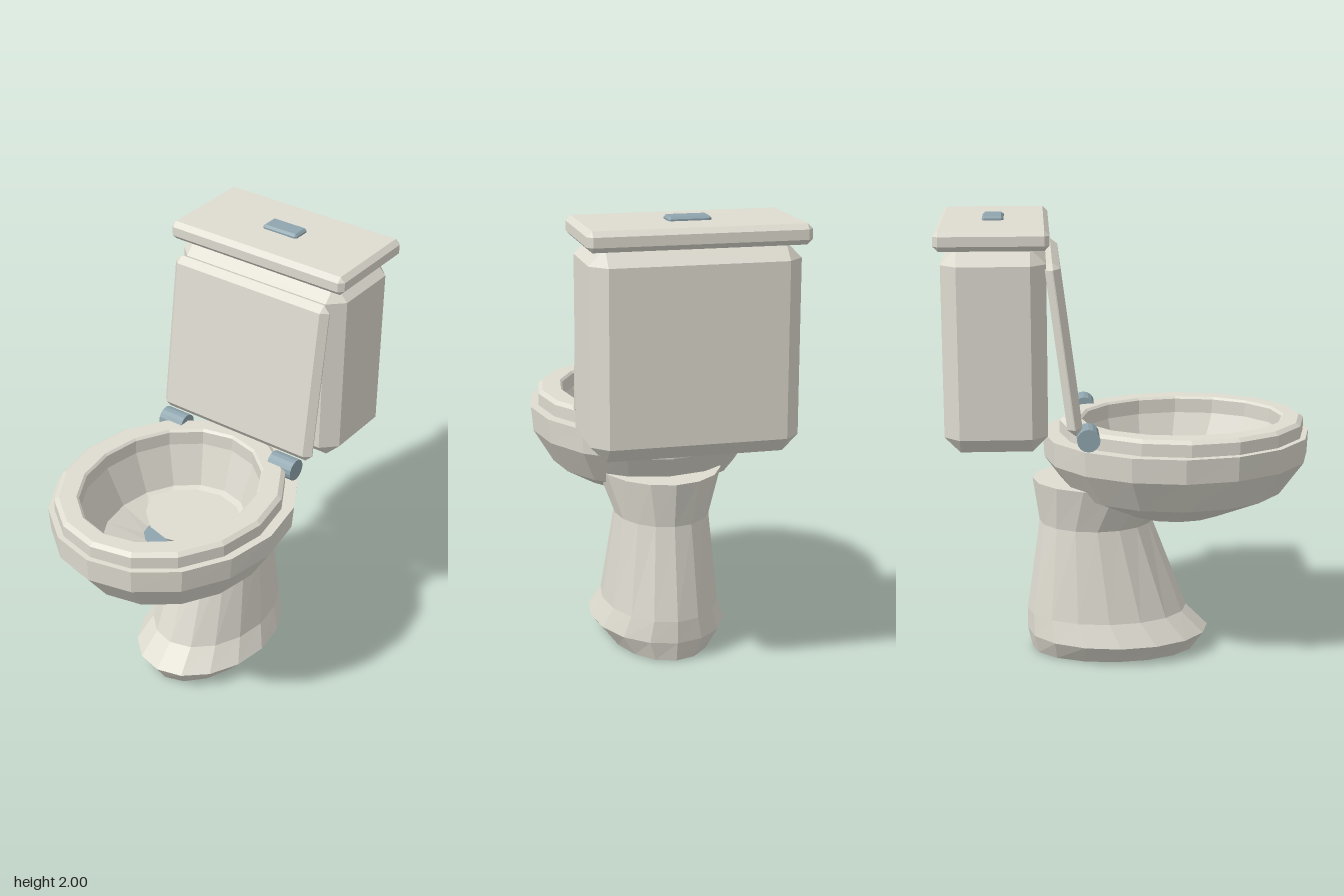
import * as THREE from 'three';
import { ConvexGeometry } from 'three/addons/geometries/ConvexGeometry.js';

const SIDES = 16;

// Skin over elliptical rings [y, radiusX, radiusZ, centreZ]; zero radius closes an end.
function loft(rings) {
  const pos = [];
  const point = ([y, rx, rz, cz], i) => {
    const a = (i / SIDES) * Math.PI * 2;
    return [rx * Math.sin(a), y, cz + rz * Math.cos(a)];
  };
  for (let r = 0; r < rings.length - 1; r++) {
    const low = rings[r], high = rings[r + 1];
    for (let i = 0; i < SIDES; i++) {
      const a = point(low, i), b = point(low, i + 1), c = point(high, i + 1), d = point(high, i);
      if (low[1] > 0) pos.push(...a, ...b, ...c);
      if (high[1] > 0) pos.push(...c, ...d, ...a);
      else continue;
      if (low[1] === 0) pos.splice(-9, 9, ...a, ...c, ...d);
    }
  }
  const g = new THREE.BufferGeometry();
  g.setAttribute('position', new THREE.Float32BufferAttribute(pos, 3));
  g.computeVertexNormals();
  return g;
}

// Box with all edges cut at 45 degrees.
function chamferBox(w, h, d, c) {
  const pts = [];
  for (const x of [-1, 1]) for (const y of [-1, 1]) for (const z of [-1, 1]) {
    for (let axis = 0; axis < 3; axis++) {
      const inset = [c, c, c];
      inset[axis] = 0;
      pts.push(new THREE.Vector3(
        x * (w / 2 - inset[0]), y * (h / 2 - inset[1]), z * (d / 2 - inset[2])));
    }
  }
  return new ConvexGeometry(pts);
}

export function createModel() {
  const model = new THREE.Group();
  const ceramic = new THREE.MeshStandardMaterial({ color: 0xdedbd0, flatShading: true });
  ceramic.name = 'ceramic';
  const metal = new THREE.MeshStandardMaterial({ color: 0x8fa5ae, flatShading: true });
  metal.name = 'blueGreyMetal';

  const add = (name, geometry, material, x = 0, y = 0, z = 0) => {
    const mesh = new THREE.Mesh(geometry, material);
    mesh.name = name;
    mesh.position.set(x, y, z);
    model.add(mesh);
    return mesh;
  };

  // Flared foot, waist and neck; the flat top shows inside the bowl
  add('pedestal', loft([
    [0, 0, 0, -0.065],
    [0, 0.23, 0.375, -0.065],
    [0.09, 0.305, 0.415, -0.045],
    [0.19, 0.26, 0.365, -0.095],
    [0.61, 0.21, 0.255, -0.145],
    [0.81, 0.28, 0.36, -0.07],
    [0.81, 0, 0, -0.07],
  ]), ceramic);

  // Bowl: underside, outer wall, rim, inner wall and floor
  add('bowl', loft([
    [0.67, 0, 0, 0.21],
    [0.67, 0.27, 0.25, 0.21],
    [0.76, 0.42, 0.485, 0.22],
    [0.91, 0.51, 0.595, 0.22],
    [1.02, 0.52, 0.6, 0.22],
    [1.02, 0.37, 0.455, 0.245],
    [0.82, 0.3, 0.37, 0.22],
    [0.74, 0.17, 0.115, 0.2],
    [0.74, 0, 0, 0.2],
  ]), ceramic);
  add('water', loft([[0.745, 0.175, 0.118, 0.2], [0.745, 0, 0, 0.2]]), metal);

  // Seat ring
  add('seat', loft([
    [1.015, 0.48, 0.55, 0.245],
    [1.075, 0.48, 0.55, 0.245],
    [1.09, 0.46, 0.53, 0.245],
    [1.09, 0.375, 0.462, 0.245],
    [1.08, 0.365, 0.45, 0.245],
    [1.015, 0.365, 0.45, 0.245],
  ]), ceramic);

  // Raised lid leaning back towards the tank
  const lid = add('lid', chamferBox(0.82, 0.75, 0.065, 0.03), ceramic, 0, 1.47, -0.29);
  lid.rotation.x = -0.128;

  // Hinges
  for (const side of [-1, 1]) {
    const hinge = add(side > 0 ? 'leftHinge' : 'rightHinge',
      new THREE.CylinderGeometry(0.05, 0.05, 0.125, 16), metal, side * 0.305, 1.07, -0.187);
    hinge.rotation.z = Math.PI / 2;
  }

  // Tank with cover and flush button
  add('tank', chamferBox(0.875, 0.87, 0.44, 0.067), ceramic, 0, 1.465, -0.58);
  add('tankCover', chamferBox(0.915, 0.085, 0.48, 0.022), ceramic, 0, 1.94, -0.585);
  add('flushButton', chamferBox(0.18, 0.04, 0.092, 0.01), metal, 0, 1.98, -0.585);

  return model;
}
